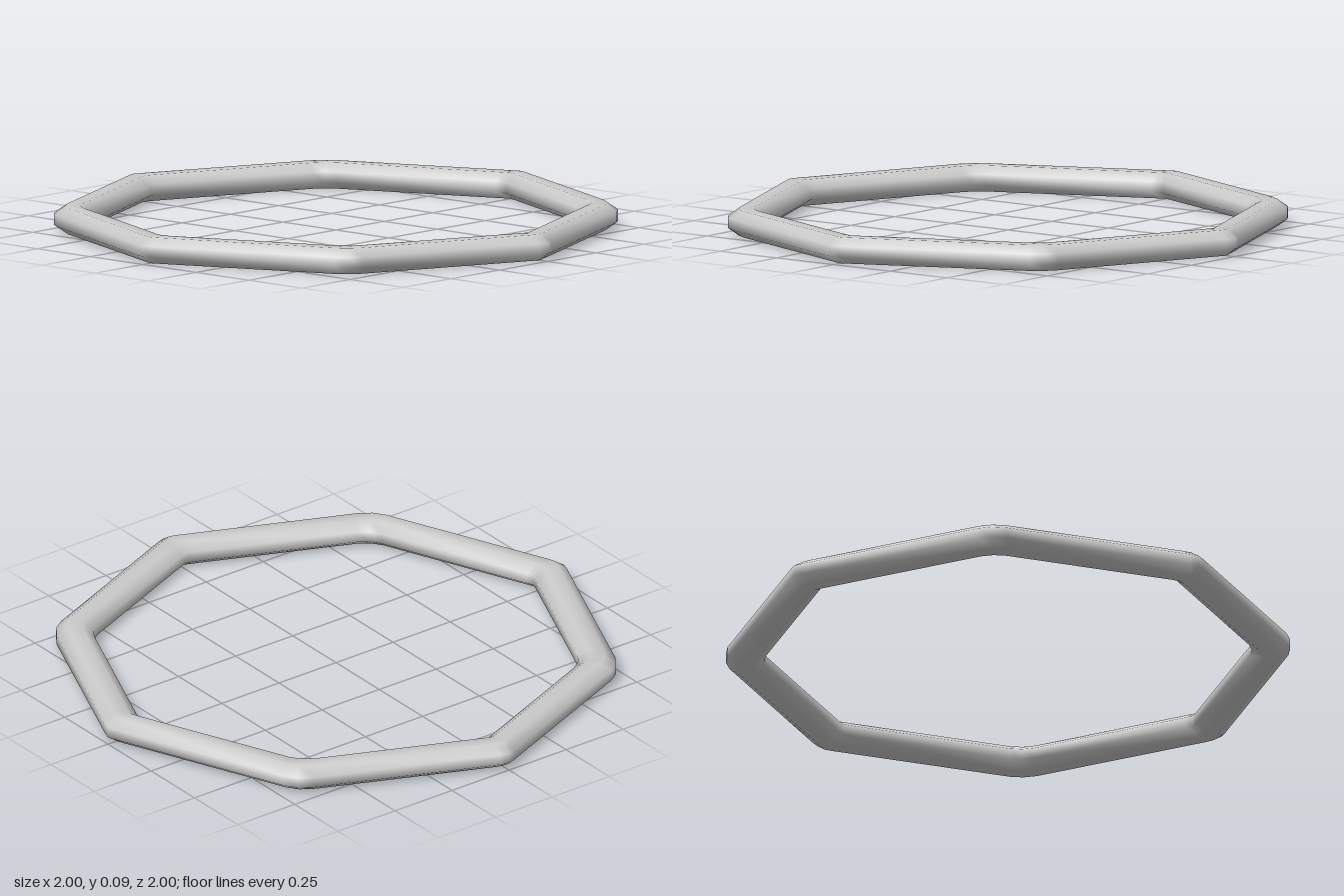
import * as THREE from 'three';

// Closed eight-sided ring: a flattened octagonal section swept around, with tight bevelled corners
export function createModel() {
  const group = new THREE.Group();
  const SIDES = 8, SECTION = 8;
  const halfWidth = 0.0675, halfHeight = 0.046, midRadius = 1 - halfWidth;
  const k = 1 / Math.cos(Math.PI / SECTION);

  // Stations: three per corner, as [angle, radial scale]
  const stations = [];
  for (let i = 0; i < SIDES; i++) {
    const angle = (i / SIDES) * Math.PI * 2;
    const [tip, shoulder, spread] = i % 2 ? [0.987, 0.978, 0.05] : [1, 0.99, 0.03];
    const d = Math.atan2(spread, shoulder);
    const r = Math.hypot(spread, shoulder);
    stations.push([angle - d, r], [angle, tip], [angle + d, r]);
  }

  // Section vertices at each station
  const positions = [], indices = [];
  for (const [angle, scale] of stations) {
    for (let j = 0; j < SECTION; j++) {
      const a = ((j + 0.5) / SECTION) * Math.PI * 2;
      const r = (midRadius + halfWidth * k * Math.cos(a)) * scale;
      positions.push(r * Math.cos(angle), halfHeight * (1 + k * Math.sin(a)), r * Math.sin(angle));
    }
  }

  // Faces between neighbouring stations, closing the loop both ways
  const n = stations.length;
  for (let i = 0; i < n; i++) {
    for (let j = 0; j < SECTION; j++) {
      const i2 = (i + 1) % n, j2 = (j + 1) % SECTION;
      const a = i * SECTION + j, b = i2 * SECTION + j;
      const c = i2 * SECTION + j2, d = i * SECTION + j2;
      indices.push(a, d, c, a, c, b);
    }
  }

  const geometry = new THREE.BufferGeometry();
  geometry.setAttribute('position', new THREE.Float32BufferAttribute(positions, 3));
  geometry.setIndex(indices);
  geometry.computeVertexNormals();

  const ring = new THREE.Mesh(geometry, new THREE.MeshStandardMaterial({ color: 0xcccccc }));
  ring.name = 'octagonalRing';
  group.add(ring);
  return group;
}
